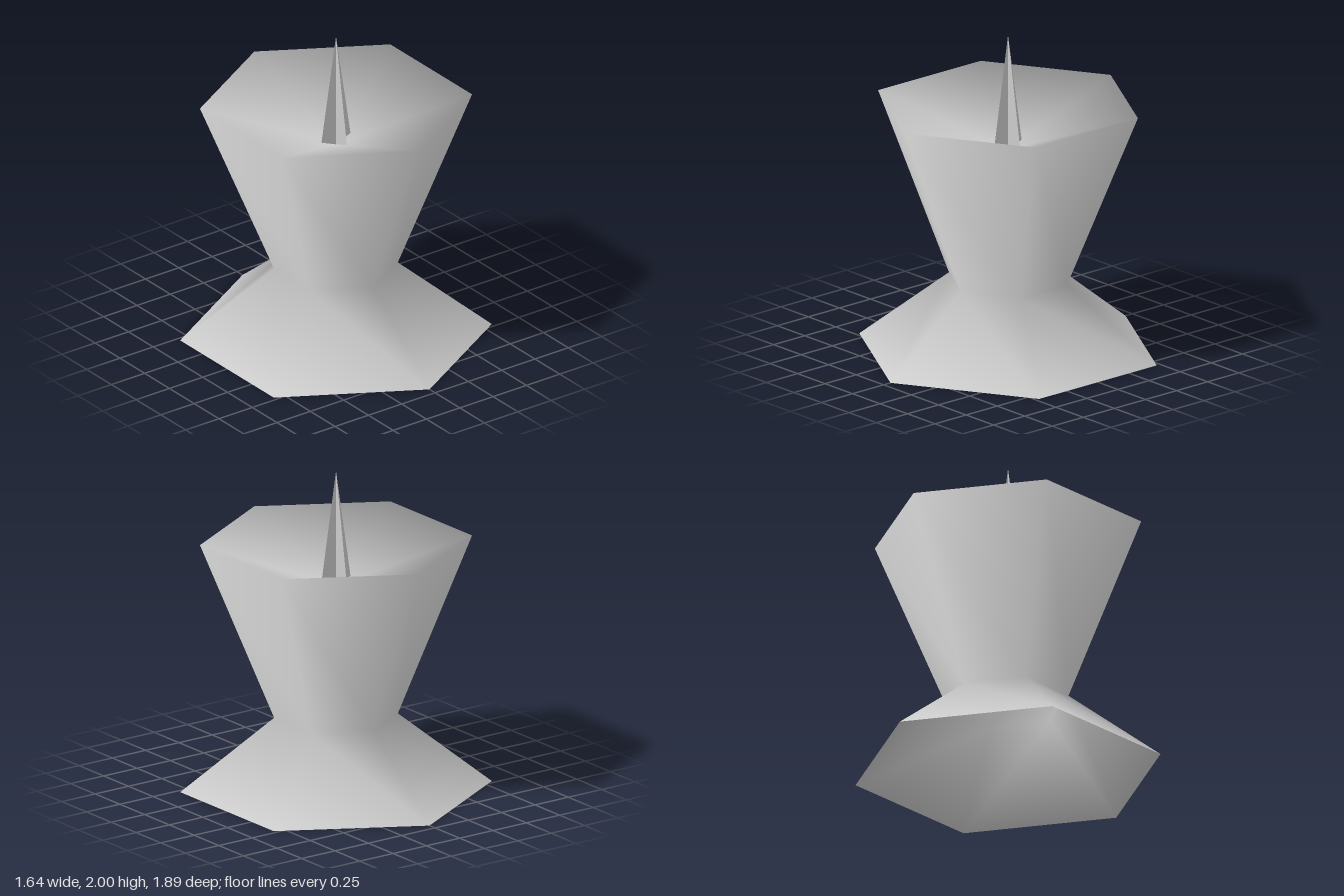
import * as THREE from 'three';
import { mergeVertices } from 'three/addons/utils/BufferGeometryUtils.js';

export function createModel() {
  const model = new THREE.Group();
  const grey = new THREE.MeshStandardMaterial({ color: 0xcccccc, side: THREE.DoubleSide });
  grey.name = 'light grey';

  // Six-sided pedestal, open below, with a sunken top; normals are shared across every edge
  const profile = [[0.945, 0], [0.375, 0.45], [0.825, 1.56], [0, 1.27]]
    .map(([r, y]) => new THREE.Vector2(r, y));
  const lathe = new THREE.LatheGeometry(profile, 6);
  lathe.deleteAttribute('normal');
  lathe.deleteAttribute('uv');
  const bodyGeometry = mergeVertices(lathe, 1e-4);
  bodyGeometry.computeVertexNormals();
  const body = new THREE.Mesh(bodyGeometry, grey);
  body.name = 'pedestal';
  model.add(body);

  // Spike made of two crossed flat triangles
  const fin = new THREE.Shape([
    new THREE.Vector2(-0.116, 1.27),
    new THREE.Vector2(0.116, 1.27),
    new THREE.Vector2(0, 2),
  ]);
  const finGeometry = new THREE.ShapeGeometry(fin);
  const spike = new THREE.Group();
  spike.name = 'spike';
  for (const angle of [0, Math.PI / 2]) {
    const mesh = new THREE.Mesh(finGeometry, grey);
    mesh.name = 'spikeFin';
    mesh.rotation.y = angle;
    spike.add(mesh);
  }
  model.add(spike);

  return model;
}
